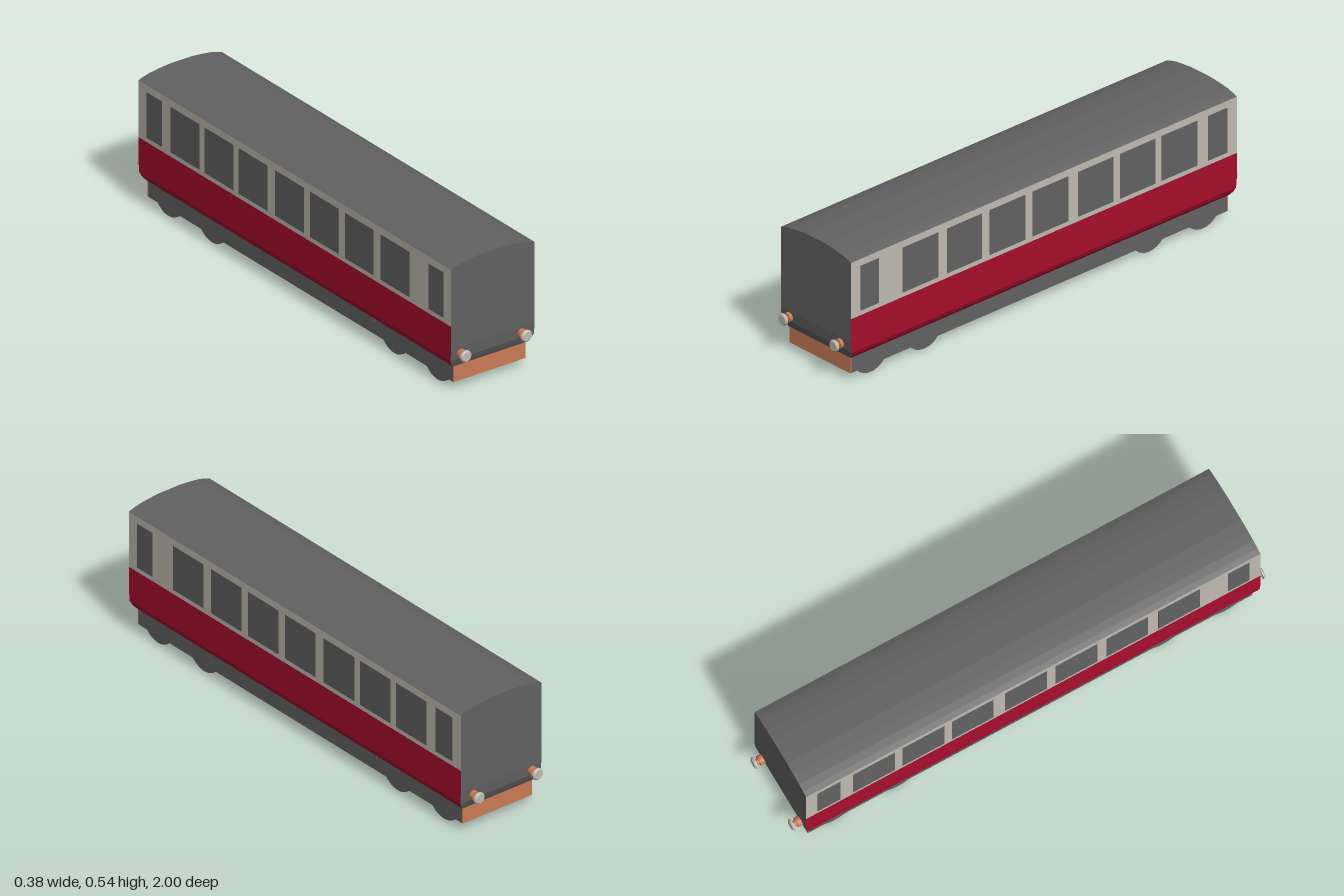
import * as THREE from 'three';

const mat = (name, color) => {
  const m = new THREE.MeshStandardMaterial({ color });
  m.name = name;
  return m;
};

// Separate flat faces from four-cornered loops, counter-clockwise from outside
function quads(list) {
  const pos = [];
  for (const [a, b, c, d] of list) pos.push(...a, ...b, ...c, ...a, ...c, ...d);
  const g = new THREE.BufferGeometry();
  g.setAttribute('position', new THREE.Float32BufferAttribute(pos, 3));
  g.computeVertexNormals();
  return g;
}

export function createModel() {
  const grey = mat('dark grey', 0x626262);
  const red = mat('carriage red', 0xa80e2c);
  const cream = mat('cream', 0xc0bbb1);
  const orange = mat('buffer orange', 0xca7c55);

  const model = new THREE.Group();
  model.name = 'railwayCarriage';
  const add = (name, geo, material, x = 0, y = 0, z = 0, parent = model) => {
    const m = new THREE.Mesh(geo, material);
    m.name = name;
    m.position.set(x, y, z);
    parent.add(m);
    return m;
  };
  const box = (name, material, w, h, d, x, y, z, parent) =>
    add(name, new THREE.BoxGeometry(w, h, d), material, x, y, z, parent);

  // Body shell: rings of [height, half width, half length], tucked in at the bottom
  const body = new THREE.Group();
  body.name = 'body';
  body.position.z = 0.002;
  model.add(body);
  const rings = [
    [0.1, 0.168, 0.942], [0.117, 0.183, 0.95], [0.135, 0.191, 0.957],
    [0.18, 0.1915, 0.961], [0.278, 0.1915, 0.961], [0.512, 0.1915, 0.961],
  ];
  const turn = (q) => q.map(([x, y, z]) => [-x, y, -z]);
  const sides = [], ends = [];
  for (let i = 0; i < rings.length - 1; i++) {
    const [y, w, l] = rings[i], [Y, W, L] = rings[i + 1];
    const side = [[w, y, l], [w, y, -l], [W, Y, -L], [W, Y, L]];
    const end = [[-w, y, l], [w, y, l], [W, Y, L], [-W, Y, L]];
    sides.push([side, turn(side)]);
    ends.push(end, turn(end));
  }
  add('lowerSides', quads(sides.slice(0, 4).flat()), red, 0, 0, 0, body);
  add('upperSides', quads(sides[4]), cream, 0, 0, 0, body);
  add('endWalls', quads(ends), grey, 0, 0, 0, body);
  const [fy, fw, fl] = rings[0];
  add('floor', quads([[[-fw, fy, -fl], [fw, fy, -fl], [fw, fy, fl], [-fw, fy, fl]]]), grey, 0, 0, 0, body);

  // Shallow arched roof
  const arch = new THREE.Shape([
    [-0.1915, 0.512], [0.1915, 0.512], [0.17, 0.52], [0.14, 0.5275], [0.1, 0.533], [0.05, 0.5375],
    [-0.05, 0.5375], [-0.1, 0.533], [-0.14, 0.5275], [-0.17, 0.52],
  ].map((p) => new THREE.Vector2(...p)));
  add('roof', new THREE.ExtrudeGeometry(arch, { depth: 1.922, bevelEnabled: false }), grey, 0, 0, -0.961, body);

  // Windows, the same along both sides: [front z, back z]
  const windows = [
    [0.916, 0.825], [0.707, 0.53], [0.487, 0.311], [0.273, 0.096], [0.059, -0.118],
    [-0.166, -0.343], [-0.375, -0.552], [-0.584, -0.761], [-0.814, -0.91],
  ];
  for (const s of [-1, 1])
    for (const [a, b] of windows)
      box('window', grey, 0.002, 0.187, a - b, s * 0.1913, 0.39, (a + b) / 2);

  // Underframe with side ledges and painted end beams
  box('underframe', grey, 0.33, 0.066, 1.874, 0, 0.067, 0.003);
  for (const s of [-1, 1]) {
    box('sideLedge', grey, 0.006, 0.017, 0.9, s * 0.166, 0.0945, 0.01);
    box('endBeam', orange, 0.331, 0.066, 0.004, 0, 0.067, 0.003 + s * 0.938);
  }

  // Wheels
  const wheel = new THREE.CylinderGeometry(0.092, 0.092, 0.012, 32).rotateZ(Math.PI / 2);
  for (const z of [0.835, 0.568, -0.552, -0.82])
    for (const s of [-1, 1]) add('wheel', wheel, grey, s * 0.152, 0.092, z);

  // Buffers: stepped shank and a bevelled round head
  const lathe = (pts) =>
    new THREE.LatheGeometry(pts.map((p) => new THREE.Vector2(...p)), 20).rotateX(Math.PI / 2);
  const shank = lathe([[0.019, 0.945], [0.019, 0.976], [0.019, 0.976], [0.011, 0.976], [0.011, 0.976], [0.011, 0.992]]);
  const head = lathe([[0, 0.99], [0.024, 0.99], [0.024, 0.99], [0.024, 0.995], [0.024, 0.995],
    [0.019, 1], [0.019, 1], [0, 1]]);
  for (const back of [false, true])
    for (const x of [-0.146, 0.132]) {
      const buffer = new THREE.Group();
      buffer.name = 'buffer';
      buffer.position.set(x, 0.155, 0);
      if (back) buffer.rotation.y = Math.PI;
      add('bufferShank', shank, orange, 0, 0, 0, buffer);
      add('bufferHead', head, cream, 0, 0, 0, buffer);
      model.add(buffer);
    }

  return model;
}
